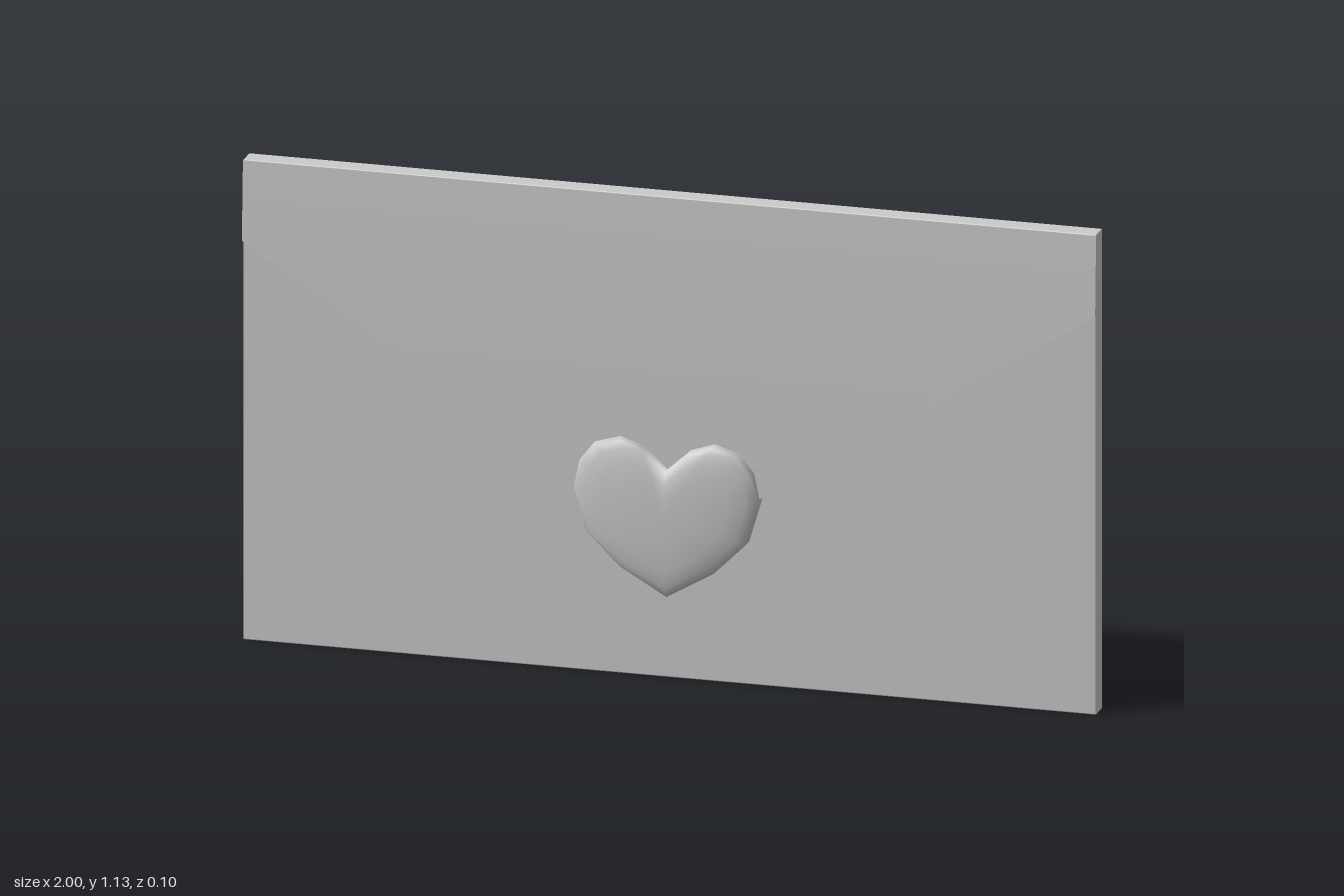
import * as THREE from 'three';
import { mergeVertices } from 'three/addons/utils/BufferGeometryUtils.js';
import { RoundedBoxGeometry } from 'three/addons/geometries/RoundedBoxGeometry.js';

const W = 1, H = 1.135, DEPTH = 0.05;
const material = new THREE.MeshStandardMaterial({ color: 0xcccccc });

// Skin a list of rows, each a list of [x, y, z]
function loft(rows, smooth = true) {
  const n = rows[0].length, index = [];
  for (let r = 0; r < rows.length - 1; r++) {
    for (let c = 0; c < n - 1; c++) {
      const a = r * n + c, b = a + n;
      index.push(a, b, a + 1, b, b + 1, a + 1);
    }
  }
  let geo = new THREE.BufferGeometry();
  geo.setAttribute('position', new THREE.Float32BufferAttribute(rows.flat(2), 3));
  geo.setIndex(index);
  geo = smooth ? mergeVertices(geo, 1e-5) : geo.toNonIndexed();
  geo.computeVertexNormals();
  return geo;
}

function addMesh(parent, name, geometry) {
  const mesh = new THREE.Mesh(geometry, material);
  mesh.name = name;
  parent.add(mesh);
  return mesh;
}

// Flap: bulges gently forward from the top fold to the pointed tip
function createFlap() {
  const flap = new THREE.Group();
  flap.name = 'flap';
  const tipY = 0.308, cornerY = 0.945, cols = 24, steps = 14;
  const bulge = y => 0.017 * (1 - Math.pow(1 - (H - y) / (H - tipY), 2.5));
  const rows = [];
  for (let r = 0; r <= steps; r++) {
    const row = [];
    for (let c = 0; c <= cols; c++) {
      const x = W * (2 * c / cols - 1);
      const edgeY = tipY + (cornerY - tipY) * Math.abs(x);
      const y = H - 0.002 + (edgeY - H + 0.002) * r / steps;
      row.push([x, y, bulge(y) + 0.0005]);
    }
    rows.push(row);
  }
  addMesh(flap, 'flapSurface', loft(rows));

  // Thin rim down the left, along the V and up the right
  const rim = [
    ...rows.map(row => row[0]),
    ...rows[steps].slice(1, -1),
    ...rows.map(row => row[cols]).reverse(),
  ];
  addMesh(flap, 'flapRim', loft([rim, rim.map(([x, y]) => [x, y, 0])], false));
  return flap;
}

// Heart seal: a faceted outline with a straight wall and a domed face
function createHeart() {
  const half = [[0, 0.198], [0.11, 0.262], [0.187, 0.338], [0.217, 0.44], [0.203, 0.505],
    [0.17, 0.548], [0.11, 0.566], [0.055, 0.547], [0, 0.497]];
  const left = half.slice(0, -1).reverse().map(([x, y]) => [-x, y]);
  const outline = [...half, ...left];
  const midY = 0.4;
  // [scale about the middle, z]
  const profile = [[0, 0.053], [0.4, 0.052], [0.7, 0.048], [0.88, 0.041], [0.97, 0.034], [1, 0.027], [1, 0]];
  return loft(profile.map(([s, z]) => outline.map(([x, y]) => [x * s, midY + (y - midY) * s, z])));
}

export function createModel() {
  const model = new THREE.Group();
  model.name = 'envelope';
  const body = addMesh(model, 'body', new RoundedBoxGeometry(2 * W, H, DEPTH, 2, 0.003));
  body.position.set(0, H / 2, -DEPTH / 2);
  model.add(createFlap());
  addMesh(model, 'heartSeal', createHeart());
  return model;
}
